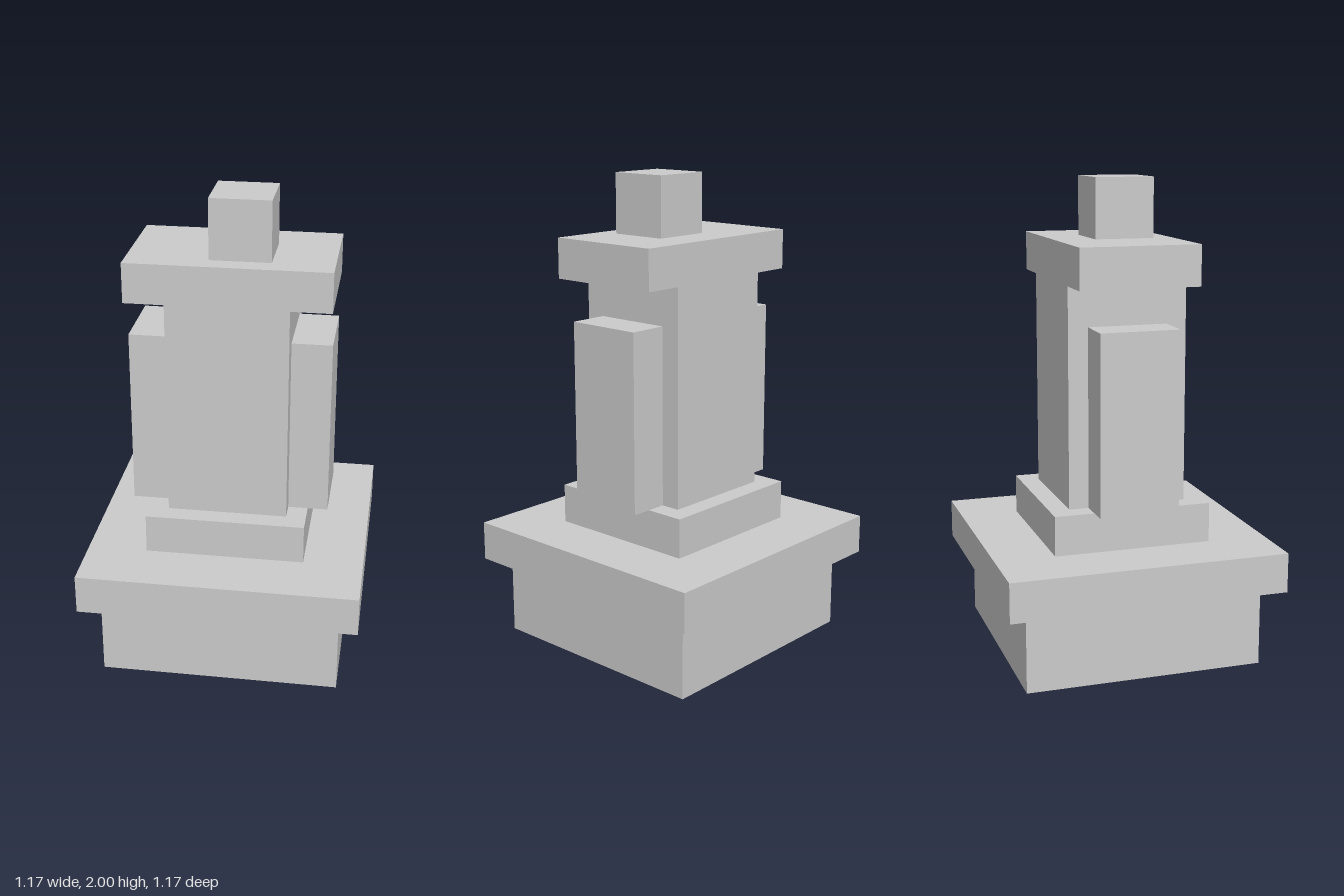
import * as THREE from 'three';

const U = 1 / 12; // the model sits on a grid of twelfths

export function createModel() {
  const model = new THREE.Group();
  const stone = new THREE.MeshStandardMaterial({ color: 0xcccccc, flatShading: true });

  // Box between two corners, given in grid units
  function block(name, [x0, y0, z0], [x1, y1, z1]) {
    const geometry = new THREE.BoxGeometry((x1 - x0) * U, (y1 - y0) * U, (z1 - z0) * U);
    const mesh = new THREE.Mesh(geometry, stone);
    mesh.name = name;
    mesh.position.set((x0 + x1) / 2, (y0 + y1) / 2, (z0 + z1) / 2).multiplyScalar(U);
    model.add(mesh);
  }

  // Stepped pedestal
  block('base', [-6, 0, -6], [6, 4, 6]);
  block('baseSlab', [-7, 4, -7], [7, 6, 7]);
  block('step', [-4, 6, -4], [4, 8, 4]);

  // Central pillar with a panel on each side
  block('pillar', [-3, 8, -3], [3, 19, 3]);
  block('leftPanel', [3, 8, -2], [5, 17, 2]);
  block('rightPanel', [-5, 8, -2], [-3, 17, 2]);

  // Wide cap and the off-centre cube on top
  block('cap', [-5, 19, -3], [5, 21, 3]);
  block('topCube', [-1, 21, -1], [2, 24, 2]);

  return model;
}
